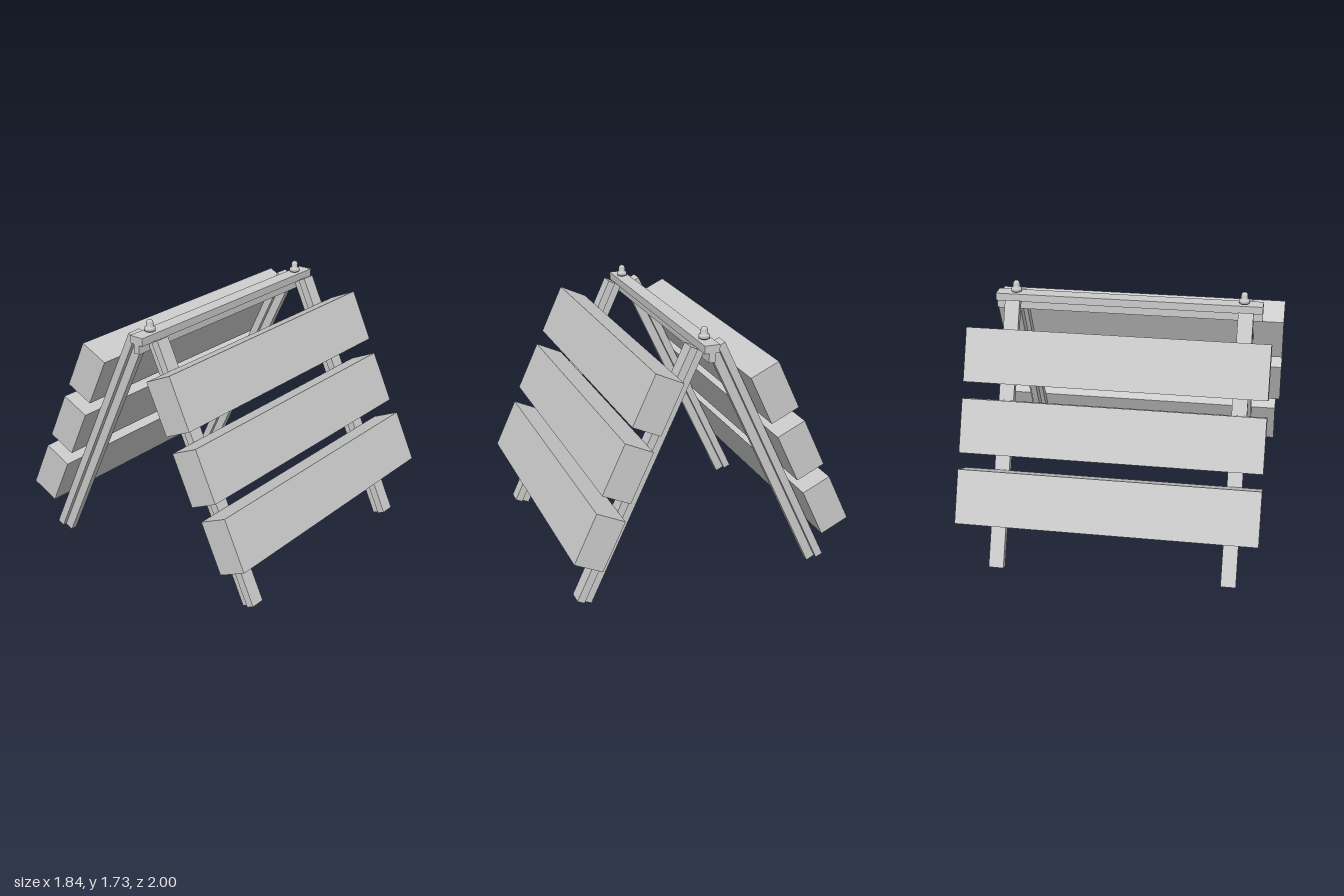
import * as THREE from 'three';

const material = new THREE.MeshStandardMaterial({ color: 0xcccccc });
const TILT = THREE.MathUtils.degToRad(25.2);
const RAIL_LENGTH = 1.752;

// T-section bar running along z, flange at +y, centred on the origin
function railGeometry() {
  const flange = 0.049, web = 0.021, h = 0.055, step = 0.004;
  const shape = new THREE.Shape([
    [-flange, h], [-flange, step], [-web, step], [-web, -h],
    [web, -h], [web, step], [flange, step], [flange, h],
  ].map(([x, y]) => new THREE.Vector2(x, y)));
  return new THREE.ExtrudeGeometry(shape, { depth: RAIL_LENGTH, bevelEnabled: false })
    .translate(0, 0, -RAIL_LENGTH / 2);
}

function add(parent, name, geometry, x, y, z) {
  const mesh = new THREE.Mesh(geometry, material);
  mesh.name = name;
  mesh.position.set(x, y, z);
  parent.add(mesh);
  return mesh;
}

// One leaning side: two legs and three boards, outward is local +x
function createSide(name, legGeometry, boardGeometry, legZ, boardZ) {
  const side = new THREE.Group();
  side.name = name;
  for (const z of legZ) add(side, 'leg', legGeometry, 0, 0, z);
  boardZ.forEach((z, i) => add(side, 'board', boardGeometry, 0.158, -0.408 + i * 0.4555, z));
  return side;
}

export function createModel() {
  const model = new THREE.Group();
  model.name = 'foldingBarricade';

  // Top beam
  const rail = railGeometry();
  add(model, 'topBeam', rail, 0, 1.596, -0.01);

  // Legs stand the same bar upright with its flange facing outward
  const upright = new THREE.Matrix4().makeBasis(
    new THREE.Vector3(0, 0, 1), new THREE.Vector3(1, 0, 0), new THREE.Vector3(0, 1, 0));
  const leg = rail.clone().applyMatrix4(upright);
  const board = new THREE.BoxGeometry(0.199, 0.349, 1.94);

  const left = createSide('leftSide', leg, board, [-0.768, 0.752], [0, 0.03, 0.03]);
  left.position.set(0.434, 0.817, 0);
  left.rotation.z = TILT;
  const right = createSide('rightSide', leg, board, [-0.76, 0.76], [0.03, 0.03, 0.03]);
  right.position.set(-0.439, 0.817, 0);
  right.rotation.set(0, Math.PI, TILT);
  model.add(left, right);

  // Knobs: washer, collar and domed cap
  const profile = [
    [0, 0], [0.024, 0], [0.024, 0.008], [0.035, 0.008], [0.035, 0.024], [0.032, 0.031],
    [0.022, 0.035], [0.022, 0.06], [0.019, 0.07], [0.011, 0.078], [0, 0.081],
  ].map(([r, y]) => new THREE.Vector2(r, y));
  const knob = new THREE.LatheGeometry(profile, 24);
  for (const z of [-0.757, 0.742]) add(model, 'knob', knob, 0, 1.65, z);

  return model;
}
